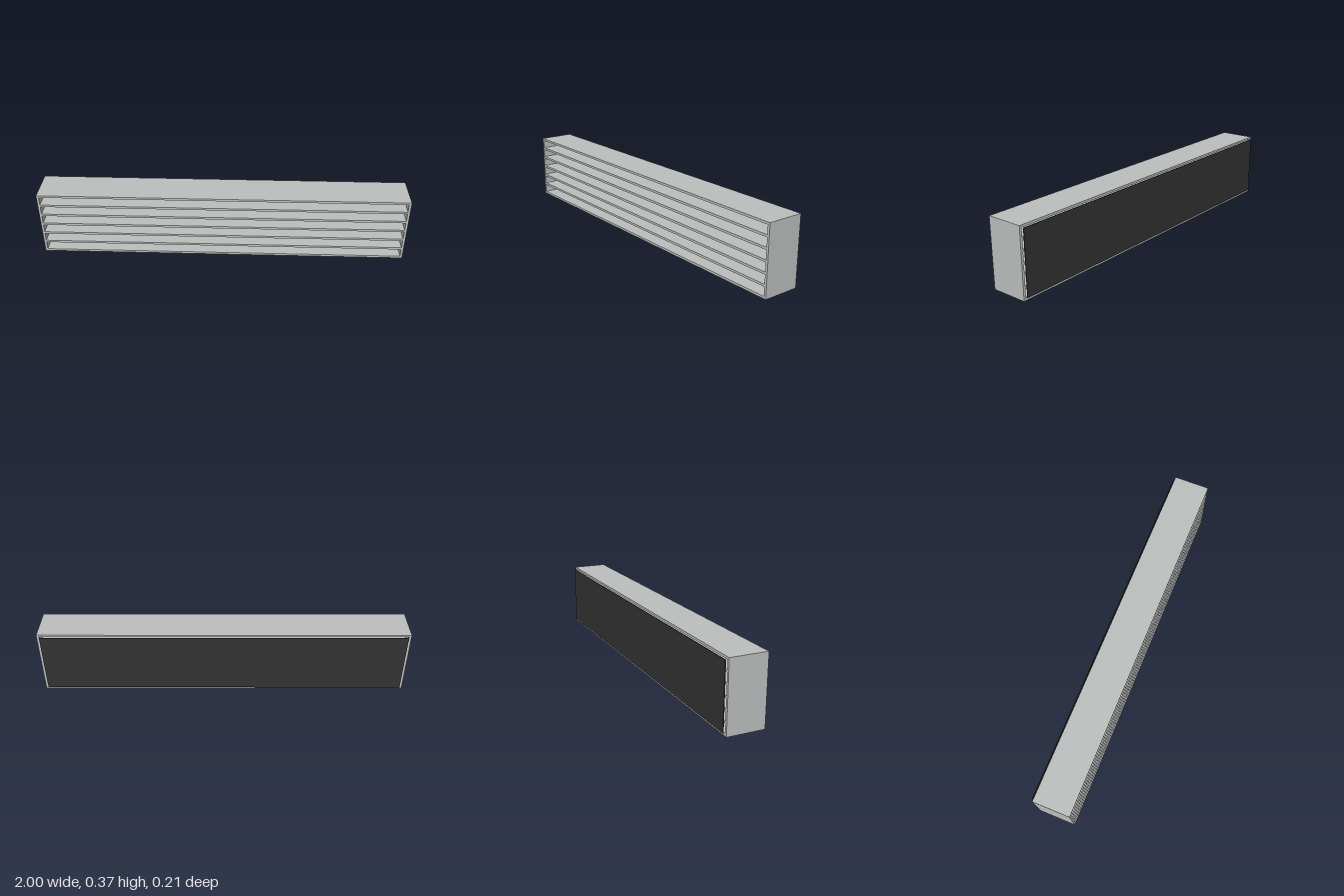
import * as THREE from 'three';

const W = 2, H = 0.37, D = 0.2; // outer size of the casing
const T = 0.0125;               // wall and slat thickness
const Z = 0.005;                // casing centre in depth
const OPENINGS = 6;

export function createModel() {
  const group = new THREE.Group();
  const metal = new THREE.MeshStandardMaterial({ name: 'light grey metal', color: 0xbbbfbe });
  const dark = new THREE.MeshStandardMaterial({ name: 'charcoal', color: 0x333333 });

  function box(name, w, h, d, x, y, z, material) {
    const mesh = new THREE.Mesh(new THREE.BoxGeometry(w, h, d), material);
    mesh.name = name;
    mesh.position.set(x, y, z);
    group.add(mesh);
  }

  // Rectangular casing, open front and back
  const outline = new THREE.Shape([[-W / 2, 0], [W / 2, 0], [W / 2, H], [-W / 2, H]]
    .map(([x, y]) => new THREE.Vector2(x, y)));
  const inX = W / 2 - T;
  outline.holes.push(new THREE.Path([[-inX, T], [-inX, H - T], [inX, H - T], [inX, T]]
    .map(([x, y]) => new THREE.Vector2(x, y))));
  const casing = new THREE.Mesh(
    new THREE.ExtrudeGeometry(outline, { depth: D, bevelEnabled: false }), metal);
  casing.name = 'casing';
  casing.position.z = Z - D / 2;
  group.add(casing);

  // Evenly spaced horizontal slats
  const pitch = (H - T) / OPENINGS;
  for (let i = 1; i < OPENINGS; i++) {
    box('slat' + i, W - 2 * T, T, D, 0, T / 2 + i * pitch, Z, metal);
  }

  // Thin panel just behind the casing
  box('backPanel', 1.97, 0.342, 0.004, 0, 0.186, -0.103, dark);
  return group;
}
